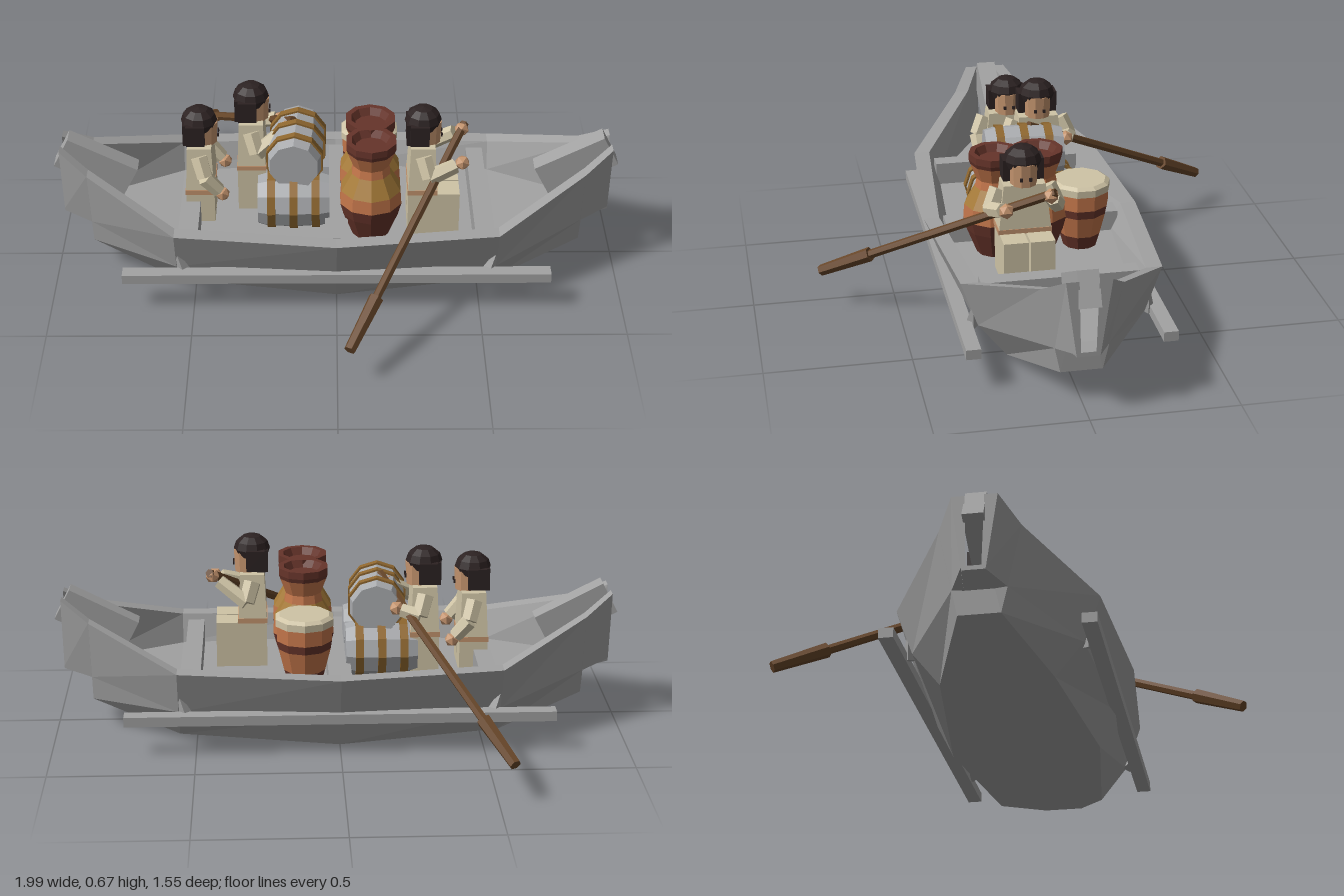
import * as THREE from 'three';

const colours = {
  hullGrey: 0xa2a2a2, barrelGrey: 0xa9abae, cream: 0xcfc4a6, skin: 0xc4946e, hair: 0x2c2222,
  wood: 0x68472a, bandBrown: 0x8f672f, darkRed: 0x66342a, orange: 0xc2754a, mustard: 0xa57a38,
};
const mat = {};
for (const [name, color] of Object.entries(colours)) {
  mat[name] = new THREE.MeshStandardMaterial({ color });
  mat[name].name = name;
}

const V = (x, y, z) => new THREE.Vector3(x, y, z);

// Faceted mesh with hard edges
function part(parent, name, geometry, material, x = 0, y = 0, z = 0) {
  const g = geometry.index ? geometry.toNonIndexed() : geometry;
  g.computeVertexNormals();
  const m = new THREE.Mesh(g, material);
  m.name = name;
  m.position.set(x, y, z);
  parent.add(m);
  return m;
}
const box = (p, name, m, w, h, d, x, y, z) => part(p, name, new THREE.BoxGeometry(w, h, d), m, x, y, z);

// Straight rod between two points
function rod(p, name, m, a, b, r, sides = 6, r2 = r) {
  const d = b.clone().sub(a), c = a.clone().add(b).multiplyScalar(0.5);
  const mesh = part(p, name, new THREE.CylinderGeometry(r2, r, d.length(), sides), m, c.x, c.y, c.z);
  mesh.quaternion.setFromUnitVectors(V(0, 1, 0), d.normalize());
  return mesh;
}

// Hull: open-topped sections lofted along x
function hull(parent) {
  // x, then half width and height of bottom, chine, outer rim, inner rim, floor
  const half = [
    [0, 0.26, 0, 0.325, 0.13, 0.385, 0.285, 0.33, 0.285, 0.29, 0.2],
    [0.56, 0.19, 0.02, 0.285, 0.14, 0.342, 0.3, 0.285, 0.3, 0.25, 0.2],
    [0.87, 0.07, 0.11, 0.09, 0.2, 0.135, 0.415, 0.085, 0.415, 0.06, 0.215],
    [0.872, 0.05, 0.195, 0.089, 0.2, 0.134, 0.416, 0.084, 0.416, 0.06, 0.215],
    [0.97, 0.038, 0.215, 0.04, 0.225, 0.075, 0.48, 0.032, 0.48, 0.025, 0.23],
  ];
  const stations = [...half.slice(1).reverse().map(([x, ...r]) => [-x, ...r]), ...half];
  const pos = [], idx = [], n = 10;
  for (const [x, bz, by, cz, cy, oz, oy, iz, iy, fz, fy] of stations) {
    const side = [[bz, by], [cz, cy], [oz, oy], [iz, iy], [fz, fy]];
    pos.push(x, by, -bz);
    for (const [z, y] of side) pos.push(x, y, z);
    for (const [z, y] of side.slice(1).reverse()) pos.push(x, y, -z);
  }
  for (let s = 0; s < stations.length - 1; s++) {
    for (let i = 0; i < n; i++) {
      const a = s * n + i, a2 = s * n + (i + 1) % n;
      idx.push(a, a + n, a2 + n, a, a2 + n, a2);
    }
  }
  const last = (stations.length - 1) * n;
  for (const [a, b, c] of [[0, 1, 5], [0, 5, 6], [1, 2, 5], [2, 3, 4], [2, 4, 5], [0, 6, 9], [9, 6, 7], [9, 7, 8]]) {
    idx.push(a, b, c, last + a, last + c, last + b);
  }
  const g = new THREE.BufferGeometry();
  g.setAttribute('position', new THREE.Float32BufferAttribute(pos, 3));
  g.setIndex(idx);
  part(parent, 'hull', g, mat.hullGrey);

  // Cross members, end posts, side rails and rail brackets
  box(parent, 'middleThwart', mat.hullGrey, 0.08, 0.075, 0.62, 0, 0.235, 0);
  for (const s of [-1, 1]) {
    box(parent, 'endThwart', mat.hullGrey, 0.06, 0.085, 0.54, s * 0.51, 0.24, 0);
    box(parent, 'endPost', mat.hullGrey, 0.27, 0.12, 0.07, s * 0.85, 0.39, 0).rotation.z = s * 0.48;
    box(parent, 'sideRail', mat.hullGrey, 1.49, 0.035, 0.05, 0, 0.133, s * 0.33);
    for (const e of [-1, 1]) {
      rod(parent, 'railBracket', mat.hullGrey, V(e * 0.53, 0.13, s * 0.3), V(e * 0.56, 0.22, s * 0.3), 0.025, 4, 0.002);
    }
  }
}

// Stack of coloured lathe bands; rows are [radius, height, colour above this row]
function banded(parent, name, rows, x, y, z, sides = 10) {
  const g = new THREE.Group();
  g.name = name;
  g.position.set(x, y, z);
  parent.add(g);
  for (let i = 0; i < rows.length - 1; i++) {
    const [r, h, m] = rows[i], [r2, h2] = rows[i + 1];
    part(g, name + 'Band', new THREE.LatheGeometry([new THREE.Vector2(r, h), new THREE.Vector2(r2, h2)], sides), m);
  }
  return g;
}

function barrel(parent, x, y, z, length) {
  const L = length / 2, G = mat.barrelGrey, B = mat.bandBrown;
  const rows = [[0, -L, G], [0.087, -L, G]];
  for (const t of [-0.62, 0, 0.62]) {
    const r = 0.1 - 0.008 * t * t, a = t * L - 0.014, b = t * L + 0.014;
    rows.push([r, a, B], [r + 0.007, a, B], [r + 0.007, b, B], [r, b, G]);
  }
  rows.push([0.087, L, G], [0, L, G]);
  return banded(parent, 'barrel', rows, x, y, z);
}

function cargo(parent) {
  for (const z of [-0.1, 0.1]) {
    const b = barrel(parent, -0.15, 0.3, z, 0.25);
    b.rotation.z = Math.PI / 2;
  }
  const top = barrel(parent, -0.14, 0.455, 0, 0.28);
  top.rotation.set(Math.PI / 2, 0, 0.06);

  const { darkRed: D, orange: O, mustard: M, cream: C } = mat;
  for (const z of [0, 0.15]) {
    banded(parent, 'jar', [
      [0, 0, D], [0.065, 0, D], [0.1, 0.09, D], [0.112, 0.135, O], [0.108, 0.185, M],
      [0.07, 0.25, O], [0.064, 0.28, O], [0.085, 0.335, D], [0.09, 0.35, D], [0.09, 0.375, D],
      [0.07, 0.375, D], [0.055, 0.35, D], [0, 0.35, D],
    ], 0.12, 0.2, z);
  }
  banded(parent, 'drum', [
    [0, 0, D], [0.06, 0, D], [0.075, 0.05, O], [0.095, 0.13, D], [0.1, 0.16, O],
    [0.1, 0.215, C], [0.105, 0.215, C], [0.105, 0.24, C], [0.09, 0.25, C], [0, 0.25, C],
  ], 0.12, 0.2, -0.155);
}

// Blocky figure facing +x; hands are given in local coordinates above the floor
function person(parent, name, x, y, z, seated, hands) {
  const p = new THREE.Group();
  p.name = name;
  p.position.set(x, y, z);
  parent.add(p);
  const legDepth = seated ? 0.18 : 0.1, legX = seated ? 0.04 : 0;
  for (const s of [-1, 1]) box(p, 'leg', mat.cream, legDepth, 0.165, 0.085, legX, 0.0825, s * 0.046);
  box(p, 'belt', mat.skin, 0.104, 0.018, 0.184, 0, 0.172, 0);

  // Torso narrows towards the shoulders
  const torso = new THREE.BoxGeometry(0.1, 0.16, 0.18), a = torso.attributes.position;
  for (let i = 0; i < a.count; i++) if (a.getY(i) > 0) a.setXYZ(i, a.getX(i) * 0.85, a.getY(i), a.getZ(i) * 0.8);
  part(p, 'torso', torso, mat.cream, 0, 0.258, 0);

  // Sleeves and hands
  hands.forEach((h, i) => {
    const s = i ? 1 : -1, shoulder = V(0, 0.315, s * 0.085), elbow = V(0.02, 0.25, s * 0.115);
    const wrist = elbow.clone().lerp(h, 0.8);
    rod(p, 'upperSleeve', mat.cream, shoulder, elbow, 0.032, 6, 0.03);
    rod(p, 'lowerSleeve', mat.cream, elbow, wrist, 0.03, 6, 0.026);
    part(p, 'hand', new THREE.IcosahedronGeometry(0.027, 0), mat.skin, h.x, h.y, h.z);
  });

  // Head and bobbed hair
  part(p, 'head', new THREE.CylinderGeometry(0.05, 0.046, 0.08, 10), mat.skin, 0.016, 0.375, 0);
  const hair = new THREE.SphereGeometry(0.064, 10, 6);
  hair.scale(1, 0.8, 1.02);
  part(p, 'hairTop', hair, mat.hair, 0, 0.418, 0);
  box(p, 'hairBack', mat.hair, 0.04, 0.08, 0.1, -0.037, 0.38, 0);
  for (const s of [-1, 1]) {
    box(p, 'hairSide', mat.hair, 0.065, 0.075, 0.024, -0.012, 0.385, s * 0.058);
    box(p, 'eye', mat.hair, 0.006, 0.012, 0.01, 0.065, 0.366, s * 0.016);
  }
}

function oar(parent, handle, tip) {
  const g = new THREE.Group();
  g.name = 'oar';
  parent.add(g);
  const at = (t) => handle.clone().lerp(tip, t);
  rod(g, 'shaft', mat.wood, handle, at(0.98), 0.016);
  rod(g, 'blade', mat.wood, at(0.78), tip, 0.026, 6, 0.02);
}

export function createModel() {
  const model = new THREE.Group();
  model.name = 'rowingBoat';
  hull(model);
  cargo(model);
  person(model, 'frontRower', 0.3, 0.2, 0.085, true, [V(0.14, 0.335, -0.07), V(0.135, 0.29, 0.08)]);
  person(model, 'rearRower', -0.3, 0.2, -0.08, false, [V(0.1, 0.27, -0.09), V(0.13, 0.32, 0.05)]);
  person(model, 'passenger', -0.48, 0.15, 0, false, [V(0.08, 0.18, -0.11), V(0.08, 0.18, 0.11)]);
  oar(model, V(0.45, 0.55, 0), V(0.04, 0.135, 0.76));
  oar(model, V(-0.15, 0.55, -0.02), V(-0.55, 0.135, -0.765));
  return model;
}
